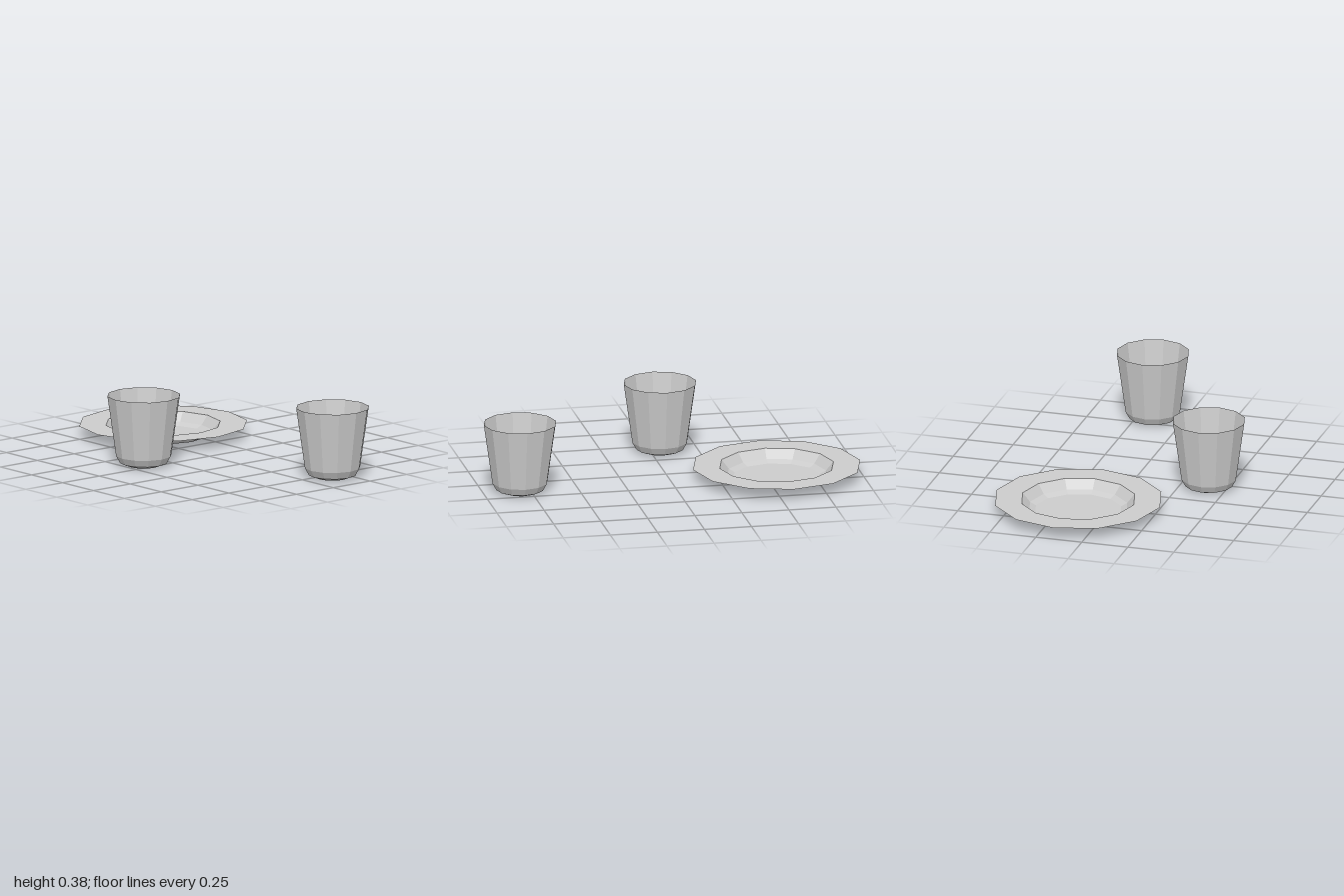
import * as THREE from 'three';

const SIDES = 12;
const material = new THREE.MeshStandardMaterial({
  color: 0xcccccc, flatShading: true, side: THREE.DoubleSide,
});

// Thin low-poly vessel turned from [radius, height] pairs
function turned(name, profile, x, z) {
  const points = profile.map(([r, y]) => new THREE.Vector2(r, y));
  const mesh = new THREE.Mesh(new THREE.LatheGeometry(points, SIDES), material);
  mesh.name = name;
  mesh.position.set(x, 0, z);
  return mesh;
}

export function createModel() {
  const group = new THREE.Group();
  group.name = 'tableware';

  // Open cups: flat base, bevelled foot, tapered wall
  const cup = [[0, 0], [0.08, 0], [0.125, 0.017], [0.146, 0.055], [0.192, 0.375]];
  group.add(turned('leftCup', cup, 0.157, 0.808));
  group.add(turned('rightCup', cup, -0.405, -0.05));

  // Plate: shallow well with a wide flat rim
  const plate = [[0, 0], [0.23, 0], [0.262, 0.016], [0.302, 0.062], [0.444, 0.062]];
  group.add(turned('plate', plate, 0.153, -0.556));

  return group;
}
